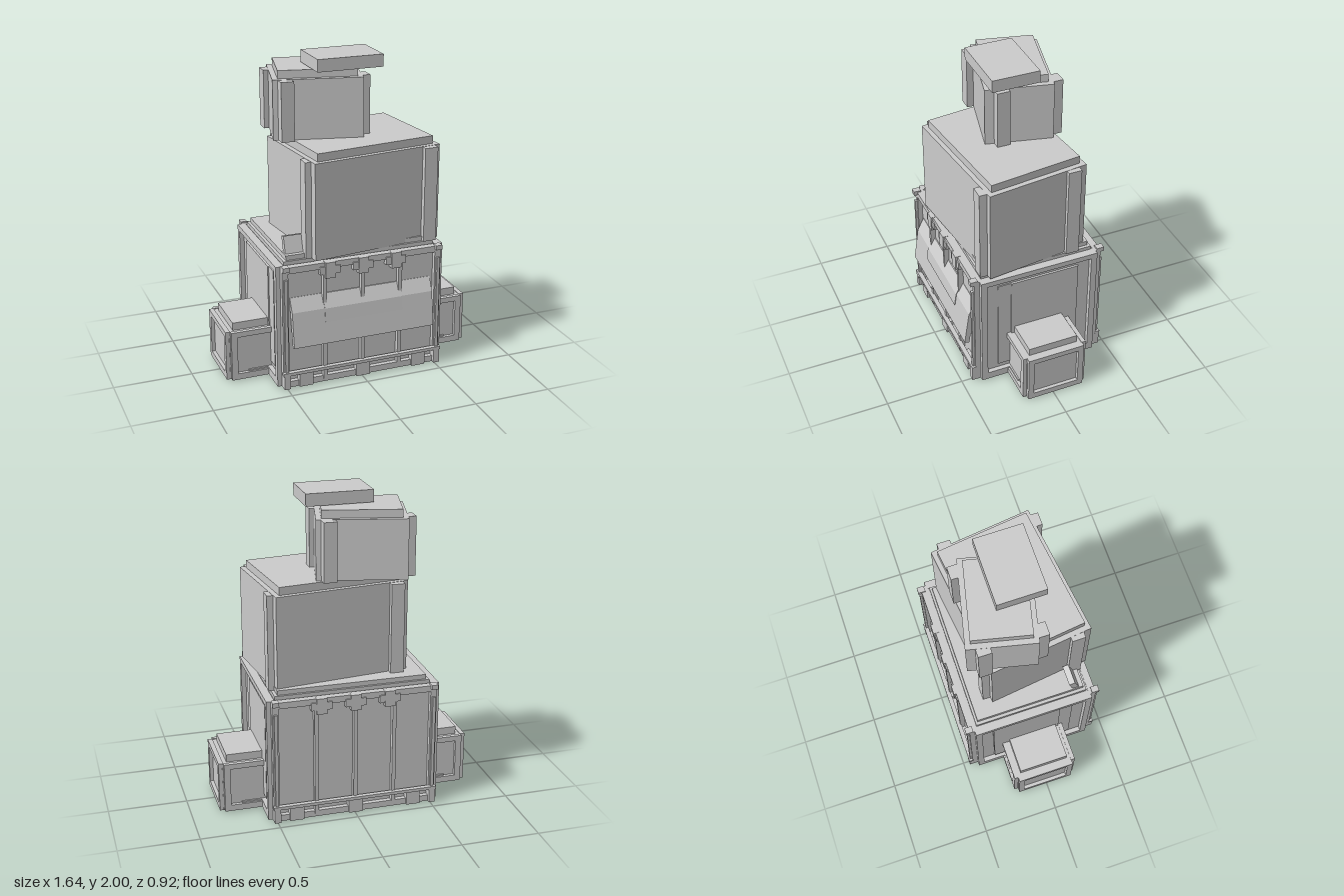
import * as THREE from 'three';

const grey = new THREE.MeshStandardMaterial({ color: 0xcccccc });
grey.name = 'plain grey';

// Box given by its limits on each axis
function block(parent, name, x0, x1, y0, y1, z0, z1) {
  const mesh = new THREE.Mesh(new THREE.BoxGeometry(x1 - x0, y1 - y0, z1 - z0), grey);
  mesh.name = name;
  mesh.position.set((x0 + x1) / 2, (y0 + y1) / 2, (z0 + z1) / 2);
  parent.add(mesh);
  return mesh;
}

function group(parent, name, x = 0, y = 0, z = 0) {
  const g = new THREE.Group();
  g.name = name;
  g.position.set(x, y, z);
  parent.add(g);
  return g;
}

// Turned crate whose corner posts stay square to the axes
function turnedCrate(parent, name, o) {
  const g = group(parent, name, o.x, o.y, o.z);
  const [w, h, d] = o.size, [lw, lh, ld] = o.lid, [px, pz] = o.post;
  const turned = group(g, name + 'Body');
  turned.rotation.y = o.turn;
  block(turned, 'crateBody', -w / 2, w / 2, 0, h, -d / 2, d / 2);
  block(turned, 'crateLid', -lw / 2, lw / 2, h, h + lh, -ld / 2, ld / 2);
  for (const sx of [-1, 1]) for (const sz of [-1, 1]) {
    const x = sx * px, z = sz * pz, s = o.postSize / 2;
    block(g, 'cornerPost', x - s, x + s, 0.002, h - 0.002, z - s, z + s);
  }
}

// Small framed crate against the side of the container
function sideCrate(parent, side) {
  const g = group(parent, side > 0 ? 'leftSideCrate' : 'rightSideCrate', 0, 0, -0.0125);
  const b = (name, x0, x1, y0, y1, z0, z1) =>
    block(g, name, Math.min(side * x0, side * x1), Math.max(side * x0, side * x1), y0, y1, z0, z1);
  b('crateCore', 0.5, 0.797, 0.012, 0.33, -0.19, 0.19);
  b('crateLid', 0.5, 0.765, 0.33, 0.38, -0.162, 0.162);
  // Outer end frame
  b('endSill', 0.79, 0.82, 0.01, 0.05, -0.187, 0.187);
  b('endRail', 0.79, 0.82, 0.3, 0.335, -0.187, 0.187);
  for (const s of [-1, 1]) {
    const zs = (u, v) => [Math.min(s * u, s * v), Math.max(s * u, s * v)];
    b('endPost', 0.79, 0.82, 0.05, 0.3, ...zs(0.15, 0.187));
    // Front and back frames
    b('faceSill', 0.5, 0.79, 0.01, 0.05, ...zs(0.185, 0.212));
    b('faceRail', 0.5, 0.79, 0.3, 0.335, ...zs(0.185, 0.212));
    b('facePost', 0.75, 0.79, 0.05, 0.3, ...zs(0.185, 0.212));
    b('faceLedge', 0.55, 0.68, 0.05, 0.06, ...zs(0.185, 0.2));
  }
}

function container(parent) {
  const g = group(parent, 'container', 0, 0, -0.0125);
  block(g, 'containerCore', -0.522, 0.522, 0.012, 0.805, -0.395, 0.395);
  block(g, 'roofStep', -0.495, 0.495, 0.8, 0.83, -0.37, 0.37);
  block(g, 'roofLid', -0.475, 0.475, 0.83, 0.86, -0.355, 0.355);

  for (const s of [-1, 1]) {
    const span = (u, v) => [Math.min(s * u, s * v), Math.max(s * u, s * v)];
    // Frame of the front or back
    block(g, 'faceTopBeam', -0.525, 0.525, 0.77, 0.81, ...span(0.38, 0.425));
    block(g, 'faceSill', -0.525, 0.525, 0.01, 0.05, ...span(0.38, 0.425));
    block(g, 'faceRail', -0.53, 0.53, 0.1, 0.12, ...span(0.42, 0.45));
    for (const x of [-1, 1]) {
      const [a, b] = x > 0 ? [0.485, 0.525] : [-0.525, -0.485];
      block(g, 'facePost', a, b, 0.05, 0.77, ...span(0.38, 0.425));
      block(g, 'footBracket', a, b, 0.01, 0.1, ...span(0.38, 0.448));
      block(g, 'topBracket', a, b, 0.79, 0.82, ...span(0.4, 0.448));
      const r = 0.505 * x;
      block(g, 'edgeRib', r - 0.01, r + 0.01, 0.1, 0.735, ...span(0.42, 0.44));
    }
    // Ribs with cross-shaped latches, and foot blocks
    for (const x of [-0.25, 0, 0.25]) {
      block(g, 'rib', x - 0.012, x + 0.012, 0.03, 0.735, ...span(0.39, 0.428));
      const l = x * 0.87;
      block(g, 'latchBar', l - 0.066, l + 0.066, 0.735, 0.785, ...span(0.4, 0.433));
      block(g, 'latchPlate', l - 0.032, l + 0.032, 0.71, 0.812, ...span(0.4, 0.44));
    }
    for (const x of [-0.38, 0, 0.38])
      block(g, 'footBlock', x - 0.045, x + 0.045, 0.01, 0.1, ...span(0.39, 0.44));
    // Frame and thin panels of the side
    block(g, 'sideTopBeam', ...span(0.5, 0.552), 0.775, 0.81, -0.39, 0.39);
    block(g, 'sideSill', ...span(0.5, 0.552), 0.01, 0.06, -0.39, 0.39);
    for (const z of [-0.37, 0.37])
      block(g, 'sidePost', ...span(0.5, 0.552), 0.06, 0.775, z - 0.02, z + 0.02);
    block(g, 'sidePanel', ...span(0.52, 0.529), 0.09, 0.735, -0.27, 0.27);
    block(g, 'sidePanelCentre', ...span(0.528, 0.536), 0.09, 0.735, -0.268, 0.183);
  }
  // Skids under the floor
  for (const [x, w] of [[-0.48, 0.04], [0, 0.08], [0.48, 0.04]])
    block(g, 'skid', x - w / 2, x + w / 2, 0, 0.014, -0.2, 0.2);
}

// Sloping plate with a cross-section in z and y, spanning a width in x
function slopingPlate(parent, name, x0, x1, points) {
  const shape = new THREE.Shape(points.map(([z, y]) => new THREE.Vector2(-z, y)));
  const geometry = new THREE.ExtrudeGeometry(shape, { depth: x1 - x0, bevelEnabled: false });
  geometry.rotateY(Math.PI / 2);
  const mesh = new THREE.Mesh(geometry, grey);
  mesh.name = name;
  mesh.position.x = x0;
  parent.add(mesh);
}

export function createModel() {
  const model = new THREE.Group();
  model.name = 'crateStack';

  container(model);
  sideCrate(model, 1);
  sideCrate(model, -1);

  // Hanging cover on the front
  slopingPlate(model, 'frontCover', -0.468, 0.465,
    [[0.375, 0.6], [0.385, 0.6], [0.428, 0.515], [0.46, 0.293], [0.43, 0.285], [0.39, 0.515]]);
  slopingPlate(model, 'coverFlap', -0.258, 0.255,
    [[0.38, 0.6], [0.389, 0.6], [0.432, 0.515], [0.444, 0.43], [0.43, 0.43], [0.42, 0.515]]);

  // Leaning tab on the roof
  slopingPlate(model, 'roofTab', -0.468, -0.34,
    [[0.245, 0.955], [0.283, 0.965], [0.315, 0.858], [0.275, 0.85]]);

  turnedCrate(model, 'middleCrate', {
    x: 0.078, y: 0.83, z: 0.038, turn: 0.12,
    size: [0.862, 0.612, 0.66], lid: [0.797, 0.05, 0.6], post: [0.39, 0.286], postSize: 0.085,
  });
  turnedCrate(model, 'upperCrate', {
    x: -0.121, y: 1.492, z: -0.105, turn: -0.228,
    size: [0.555, 0.376, 0.42], lid: [0.487, 0.05, 0.357], post: [0.245, 0.17], postSize: 0.083,
  });
  block(model, 'topSlab', -0.197, 0.227, 1.922, 2, -0.138, 0.165);
  return model;
}
